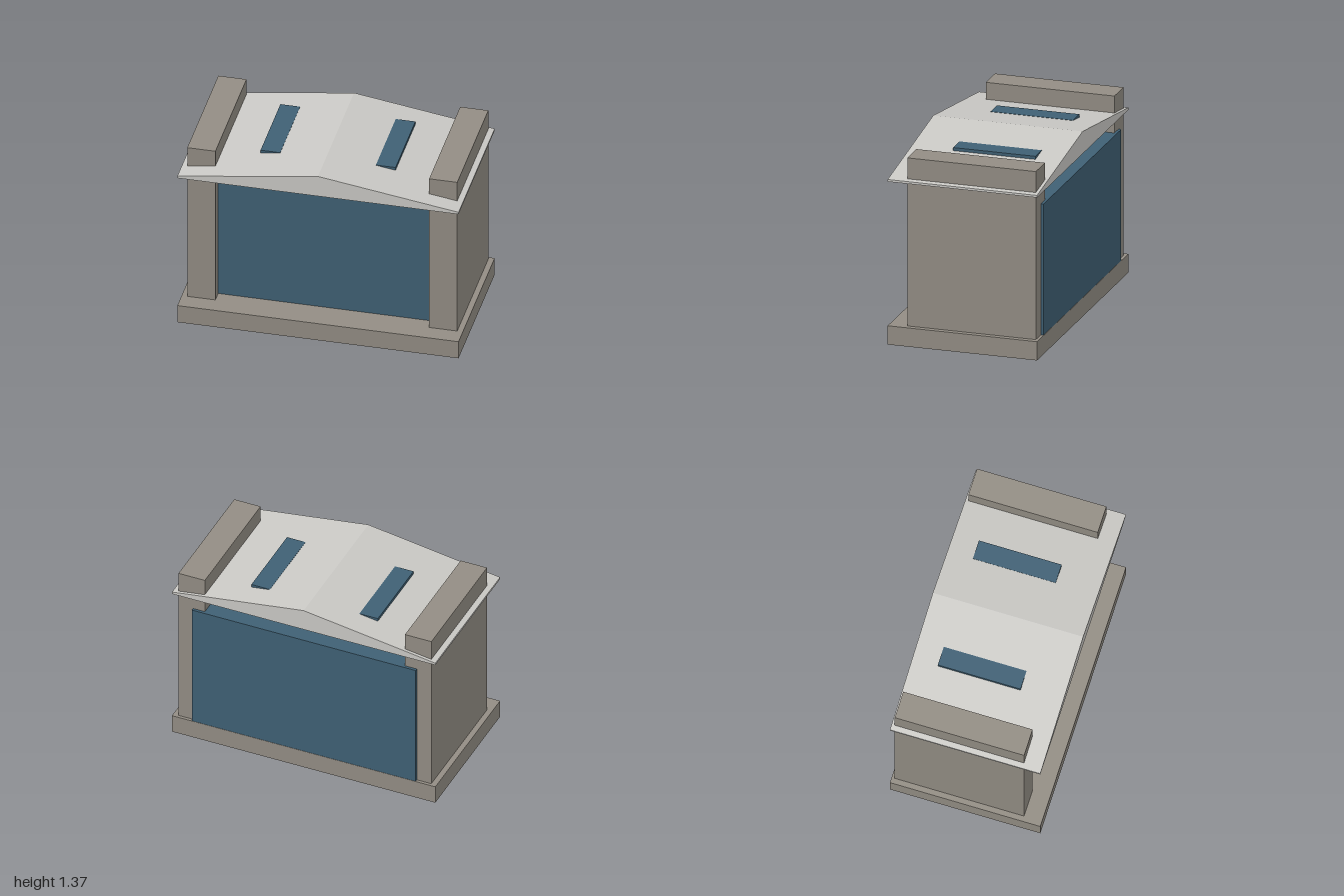
import * as THREE from 'three';

export function createModel() {
  const group = new THREE.Group();
  const stone = new THREE.MeshStandardMaterial({ color: 0x938d84 });
  const roofGrey = new THREE.MeshStandardMaterial({ color: 0xcac9c5 });
  const glassBlue = new THREE.MeshStandardMaterial({ color: 0x3f6074 });
  stone.name = 'stone';
  roofGrey.name = 'roofGrey';
  glassBlue.name = 'glassBlue';

  // Box given by its lower and upper limits on each axis
  function box(name, material, [x0, x1], [y0, y1], [z0, z1]) {
    const geometry = new THREE.BoxGeometry(x1 - x0, y1 - y0, z1 - z0);
    const mesh = new THREE.Mesh(geometry, material);
    mesh.position.set((x0 + x1) / 2, (y0 + y1) / 2, (z0 + z1) / 2);
    mesh.name = name;
    group.add(mesh);
  }

  // Plinth, glazed core and the wider back panel
  box('base', stone, [-1, 1], [0, 0.137], [-0.545, 0.545]);
  box('glassCore', glassBlue, [-0.76, 0.76], [0.137, 1.095], [-0.52, 0.33]);
  box('backPanel', glassBlue, [-0.85, 0.85], [0.137, 1.095], [-0.543, -0.52]);

  // Side walls rising through the roof, and the skylights
  for (const side of [-1, 1]) {
    const span = (a, b) => (side > 0 ? [a, b] : [-b, -a]);
    const label = side > 0 ? 'left' : 'right';
    box(label + 'Wall', stone, span(0.76, 0.96), [0.137, 1.365], [-0.523, 0.415]);
    box(label + 'Skylight', glassBlue, span(0.34, 0.48), [1.22, 1.305], [-0.36, 0.24]);
  }

  // Low gabled roof with a flat underside
  const profile = new THREE.Shape([
    new THREE.Vector2(-1, 1.19),
    new THREE.Vector2(1, 1.19),
    new THREE.Vector2(1, 1.206),
    new THREE.Vector2(0, 1.353),
    new THREE.Vector2(-1, 1.206),
  ]);
  const roofGeometry = new THREE.ExtrudeGeometry(profile, { depth: 1.09, bevelEnabled: false });
  roofGeometry.translate(0, 0, -0.545);
  const roof = new THREE.Mesh(roofGeometry, roofGrey);
  roof.name = 'roof';
  group.add(roof);

  return group;
}
